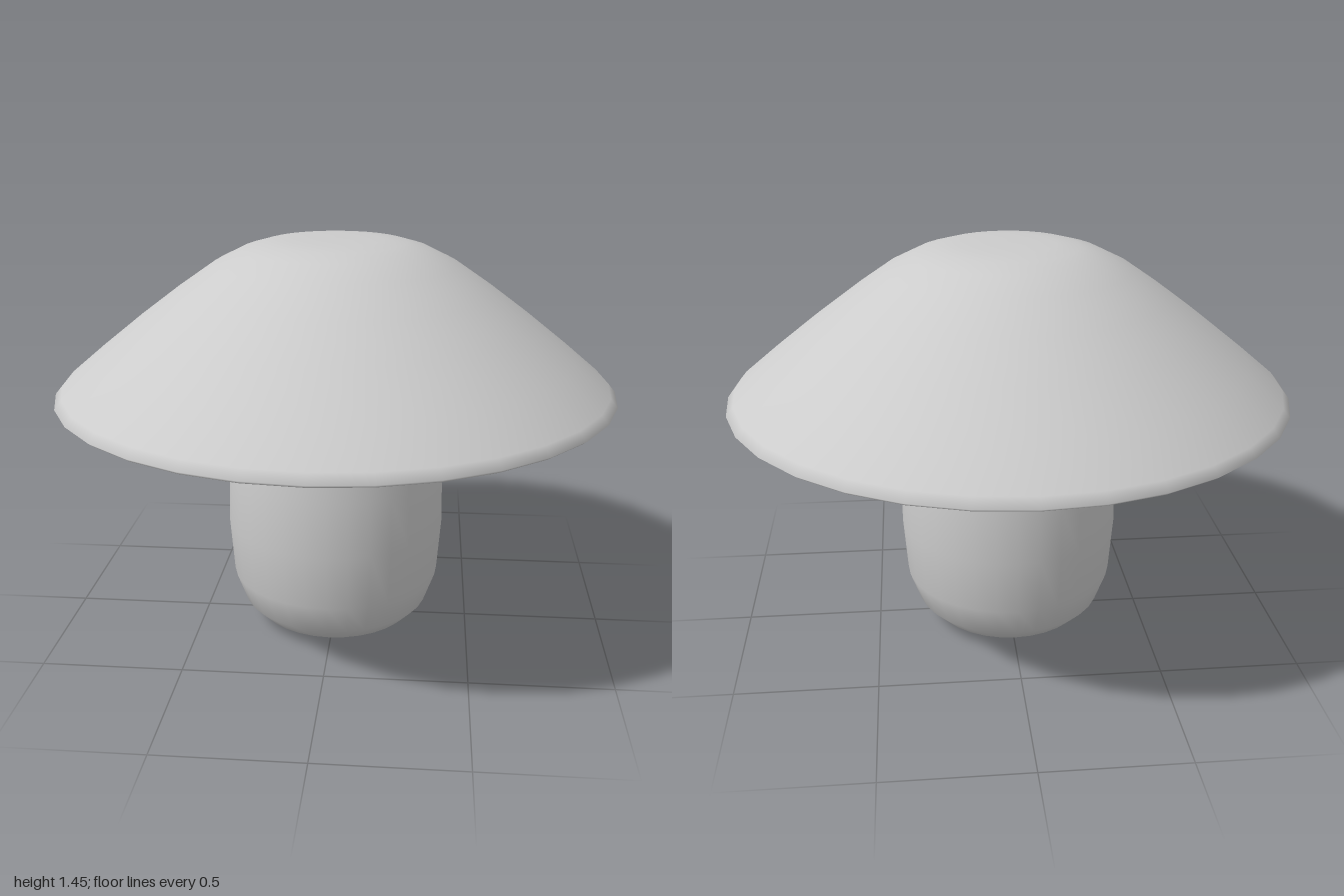
import * as THREE from 'three';

const material = new THREE.MeshStandardMaterial({ color: 0xcccccc });

// Revolves a profile of [radius, height] pairs, listed from bottom to top
function turned(name, profile, segments) {
  const points = profile.map(([r, y]) => new THREE.Vector2(r, y));
  const mesh = new THREE.Mesh(new THREE.LatheGeometry(points, segments), material);
  mesh.name = name;
  return mesh;
}

export function createModel() {
  const group = new THREE.Group();
  group.name = 'mushroom';

  // Barrel-shaped stem with a rounded foot, its top tucked into the cap
  group.add(turned('stem', [
    [0, 0], [0.14, 0.003], [0.23, 0.012], [0.29, 0.035], [0.345, 0.09],
    [0.385, 0.2], [0.4, 0.4], [0.395, 0.6], [0.37, 0.8], [0.35, 0.9],
    [0.32, 0.96], [0, 0.98],
  ], 32));

  // Wide cap: flat underside, thin rim, sloping sides and flattened crown
  group.add(turned('cap', [
    [0, 0.89], [0.75, 0.89], [0.95, 0.893], [0.985, 0.898], [1, 0.91],
    [0.975, 0.94], [0.85, 1.045], [0.7, 1.165], [0.56, 1.27], [0.43, 1.36],
    [0.33, 1.41], [0.25, 1.433], [0.17, 1.442], [0.08, 1.444], [0, 1.445],
  ], 32));

  return group;
}
